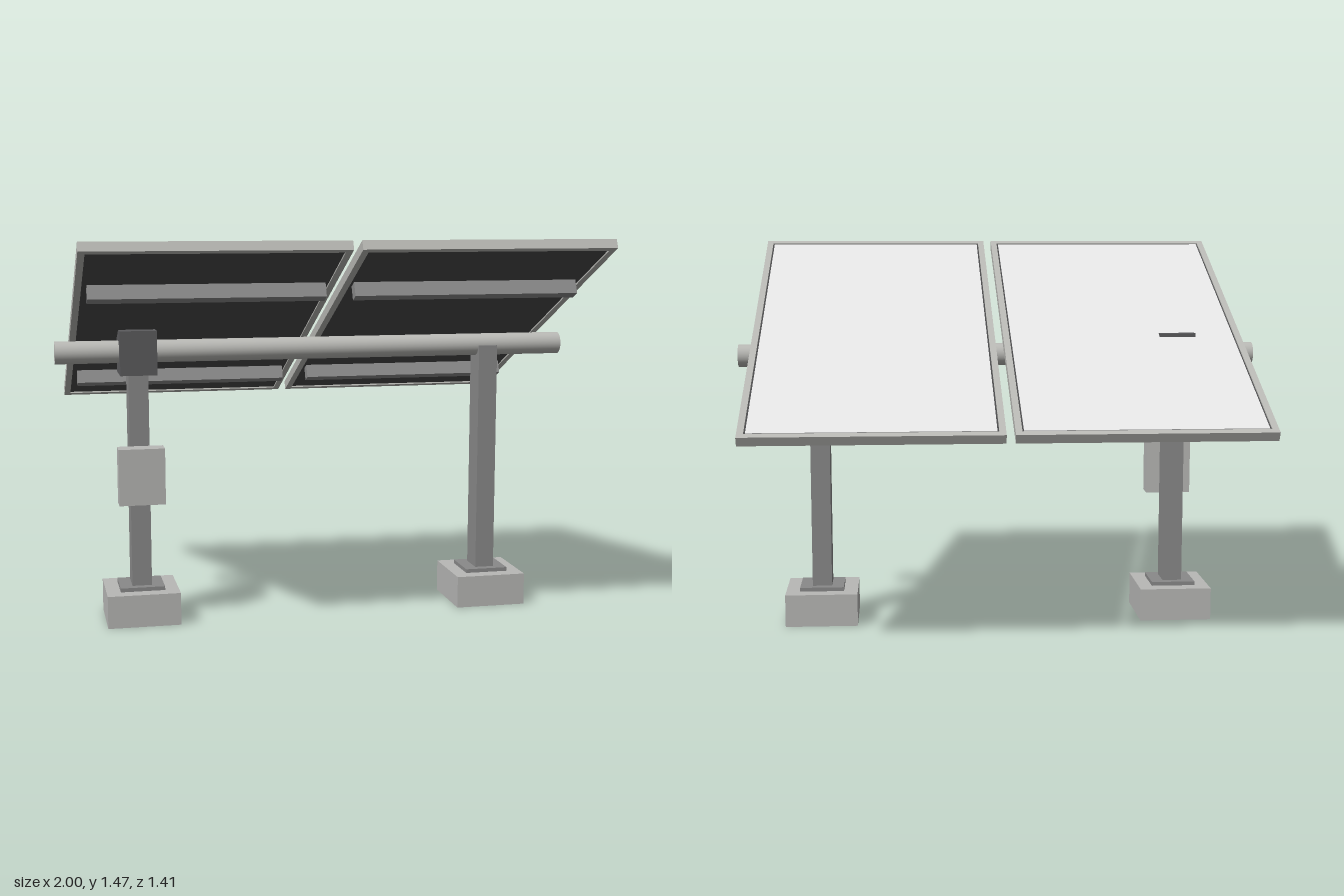
import * as THREE from 'three';

const TILT = -THREE.MathUtils.degToRad(25);

function mat(name, color) {
  const m = new THREE.MeshStandardMaterial({ color });
  m.name = name;
  return m;
}

export function createModel() {
  const metal = mat('light metal', 0xb9b9b5);
  const concrete = mat('concrete', 0xb8b8b6);
  const steel = mat('post steel', 0x8a8a8a);
  const dark = mat('drive housing', 0x5c5c5e);
  const glass = mat('panel face', 0xe6e6e6);
  const backing = mat('panel backing', 0x4a4a4b);

  const root = new THREE.Group();
  root.name = 'solarTracker';

  // box given by its size and centre
  function box(parent, name, material, w, h, d, x, y, z) {
    const m = new THREE.Mesh(new THREE.BoxGeometry(w, h, d), material);
    m.name = name;
    m.position.set(x, y, z);
    parent.add(m);
    return m;
  }

  // footings, base plates and posts
  for (const side of [-1, 1]) {
    const support = new THREE.Group();
    support.name = side < 0 ? 'rightSupport' : 'leftSupport';
    support.position.x = side * 0.692;
    box(support, 'footing', concrete, 0.278, 0.125, 0.278, 0, 0.0625, 0);
    box(support, 'basePlate', steel, 0.17, 0.015, 0.166, 0, 0.1325, 0);
    box(support, 'post', steel, 0.075, 0.9, 0.105, 0, 0.59, 0);
    root.add(support);
  }

  // drive housing and control box on the right post
  box(root, 'driveHousing', dark, 0.139, 0.168, 0.166, -0.692, 1.041, 0);
  box(root, 'controlBox', concrete, 0.174, 0.214, 0.076, -0.692, 0.58, 0.102);

  // torque tube
  const tube = new THREE.Mesh(new THREE.CylinderGeometry(0.043, 0.043, 2, 24), metal);
  tube.name = 'torqueTube';
  tube.rotation.z = Math.PI / 2;
  tube.position.y = 1.041;
  root.add(tube);

  // tilted panels: frame, dark laminate and a pale face inset within a dark border
  const W = 0.924, L = 1.535, T = 0.035, F = 0.024, BORDER = 0.006;
  const innerW = W - 2 * F, innerL = L - 2 * F;
  for (const side of [-1, 1]) {
    const panel = new THREE.Group();
    panel.name = side < 0 ? 'rightPanel' : 'leftPanel';
    panel.position.set(side * 0.478, 1.132, 0);
    panel.rotation.x = TILT;
    for (const s of [-1, 1]) {
      box(panel, 'frameSide', metal, F, T, L, s * (W - F) / 2, 0, 0);
      box(panel, 'frameEnd', metal, innerW, T, F, 0, 0, s * (L - F) / 2);
    }
    box(panel, 'panelBacking', backing, innerW, 0.024, innerL, 0, 0, 0);
    box(panel, 'panelFace', glass, innerW - 2 * BORDER, 0.004, innerL - 2 * BORDER, 0, 0.014, 0);
    root.add(panel);

    // mounting rails under the panel
    const rails = new THREE.Group();
    rails.name = side < 0 ? 'rightRails' : 'leftRails';
    rails.position.set(side * 0.475, 1.086, 0);
    rails.rotation.x = TILT;
    for (const s of [-1, 1]) {
      box(rails, 'mountingRail', steel, 0.845, 0.054, 0.043, 0, 0.003, s * 0.461);
    }
    root.add(rails);
  }

  return root;
}
